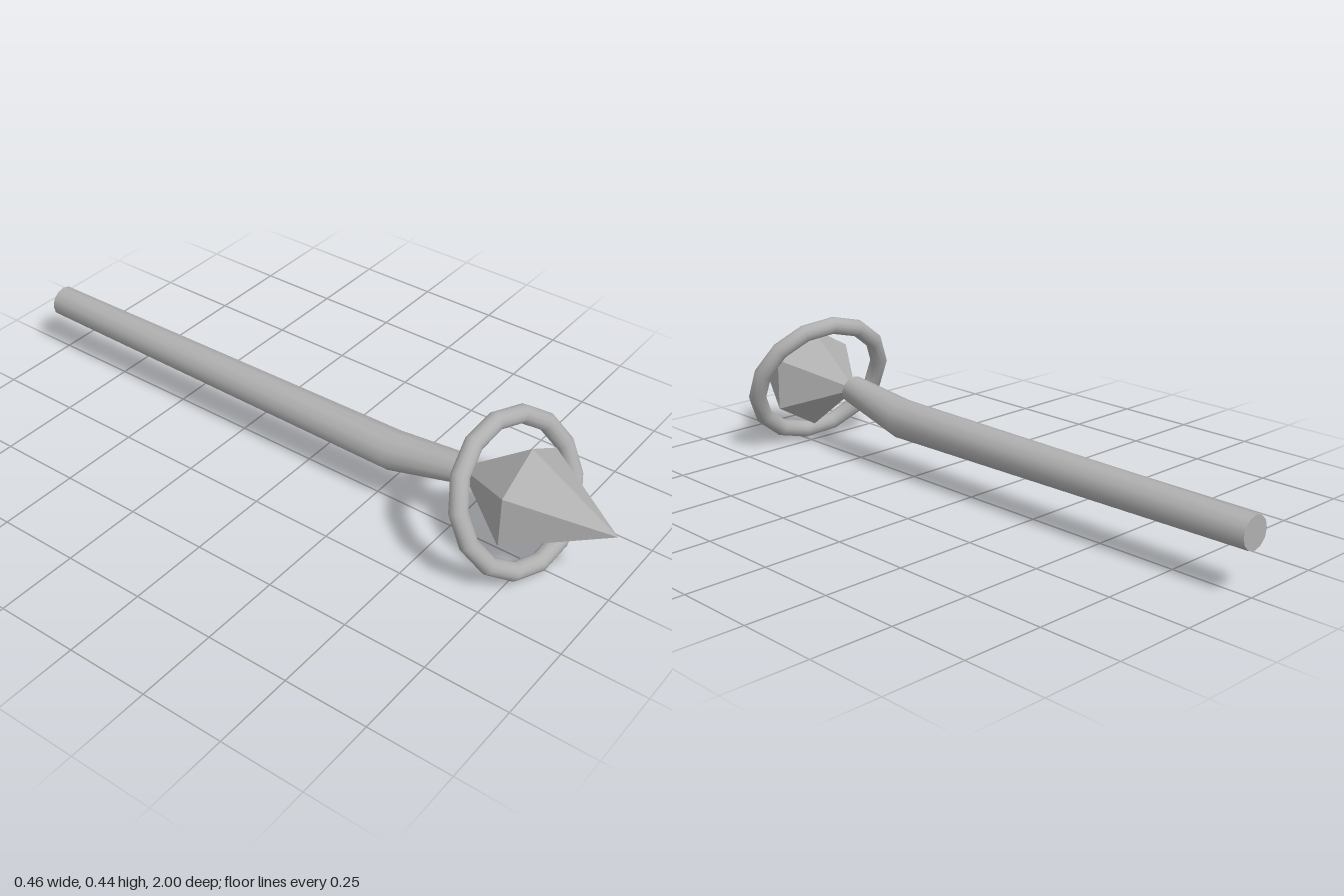
import * as THREE from 'three';

const metal = new THREE.MeshStandardMaterial({ color: 0xb0b0b0 });
metal.name = 'grey';

function addMesh(parent, name, geometry) {
  const mesh = new THREE.Mesh(geometry, metal);
  mesh.name = name;
  parent.add(mesh);
  return mesh;
}

// Bent, tapered rod: a unit cylinder whose three rings are moved onto stations.
function handleGeometry() {
  const stations = [
    { y: 0.177, z: -1, r: 0.048, tilt: 0 },
    { y: 0.177, z: 0.3, r: 0.06, tilt: 0 },
    { y: 0.222, z: 0.532, r: 0.043, tilt: 0.2 },
  ];
  const g = new THREE.CylinderGeometry(1, 1, 2, 12, 2);
  g.rotateX(Math.PI / 2);
  const p = g.attributes.position;
  for (let i = 0; i < p.count; i++) {
    const s = stations[Math.round(p.getZ(i)) + 1];
    const up = p.getY(i) * s.r;
    p.setXYZ(i, p.getX(i) * s.r, s.y + up * Math.cos(s.tilt), s.z - up * Math.sin(s.tilt));
  }
  g.computeVertexNormals();
  return g;
}

// Six-sided point with flat faces, running from the waist along z.
function pointGeometry(length, direction) {
  const g = new THREE.ConeGeometry(0.16, length, 6, 1, true).toNonIndexed();
  g.translate(0, length / 2, 0);
  g.rotateX(direction * Math.PI / 2);
  g.computeVertexNormals();
  return g;
}

export function createModel() {
  const model = new THREE.Group();
  model.name = 'crystalWand';

  addMesh(model, 'handle', handleGeometry());

  // Faceted crystal: long point forward, short point into the handle
  const crystal = new THREE.Group();
  crystal.name = 'crystal';
  crystal.position.set(0, 0.223, 0.73);
  addMesh(crystal, 'crystalFrontPoint', pointGeometry(0.27, 1));
  addMesh(crystal, 'crystalBackPoint', pointGeometry(0.21, -1));
  model.add(crystal);

  // Tilted ring floating around the crystal
  const ringGeometry = new THREE.TorusGeometry(0.212, 0.027, 12, 14);
  ringGeometry.rotateZ(Math.PI / 2);
  const ring = addMesh(model, 'ring', ringGeometry);
  ring.position.set(0, 0.222, 0.7);
  ring.quaternion.setFromUnitVectors(
    new THREE.Vector3(0, 0, 1),
    new THREE.Vector3(-0.22, 0.476, 1).normalize(),
  );
  return model;
}
